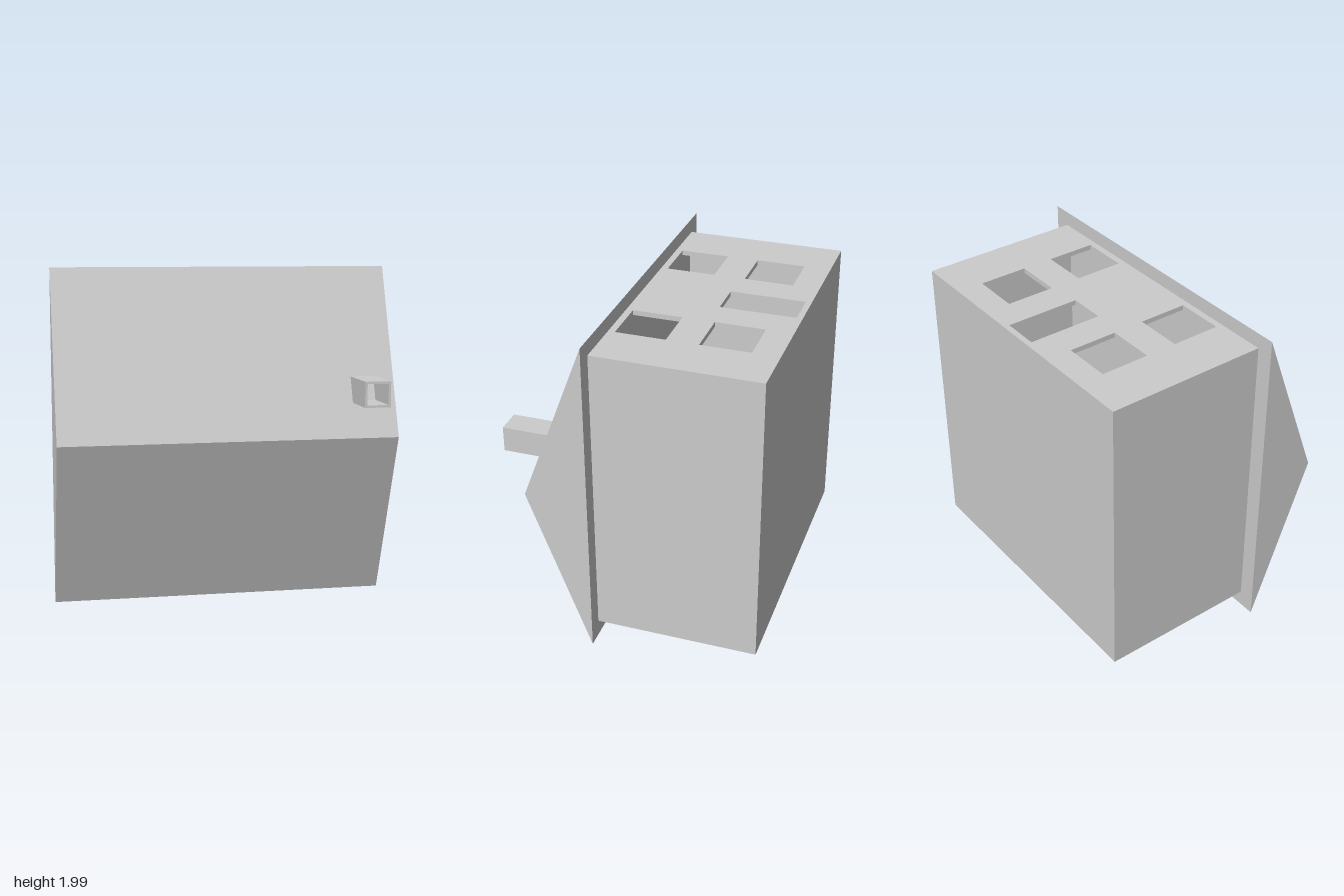
import * as THREE from 'three';

const WALL = 0.03;
const BODY = { x: 0.9, y0: 0.1, y1: 1.9, back: -0.76, front: 0.22 };

function rect(Type, x0, y0, x1, y1) {
  const r = new Type();
  r.moveTo(x0, y0);
  r.lineTo(x1, y0);
  r.lineTo(x1, y1);
  r.lineTo(x0, y1);
  r.closePath();
  return r;
}

export function createModel() {
  const model = new THREE.Group();
  model.name = 'houseLyingOnItsBack';
  const material = new THREE.MeshStandardMaterial({ color: 0xcccccc, flatShading: true });

  const add = (name, geometry, parent = model) => {
    const mesh = new THREE.Mesh(geometry, material);
    mesh.name = name;
    parent.add(mesh);
    return mesh;
  };
  const extrude = (shape, depth) => new THREE.ExtrudeGeometry(shape, { depth, bevelEnabled: false });

  // Hollow house body
  const body = new THREE.Group();
  body.name = 'body';
  model.add(body);
  const depth = BODY.front - BODY.back;
  const midZ = (BODY.front + BODY.back) / 2;
  const height = BODY.y1 - BODY.y0;

  // Top and bottom walls, each with four windows and a door
  for (const [name, y] of [['topWall', BODY.y1 - WALL], ['bottomWall', BODY.y0]]) {
    const shape = rect(THREE.Shape, -BODY.x, -BODY.front, BODY.x, -BODY.back);
    for (const x of [-0.595, 0.305]) {
      for (const z of [-0.6, -0.115]) {
        shape.holes.push(rect(THREE.Path, x, -z - 0.295, x + 0.29, -z));
      }
    }
    shape.holes.push(rect(THREE.Path, -0.11, 0.275, 0.11, 0.725));
    add(name, extrude(shape, WALL).rotateX(-Math.PI / 2), body).position.y = y;
  }

  // Side walls and the floor slab at the back
  for (const side of [-1, 1]) {
    add(side > 0 ? 'leftWall' : 'rightWall', new THREE.BoxGeometry(WALL, height - 2 * WALL, depth), body)
      .position.set(side * (BODY.x - WALL / 2), 1, midZ);
  }
  add('houseFloor', new THREE.BoxGeometry(2 * (BODY.x - WALL), height - 2 * WALL, WALL), body)
    .position.set(0, 1, BODY.back + WALL / 2);

  // Roof: triangular prism running along x, drawn in (-z, y)
  const roof = new THREE.Shape([
    new THREE.Vector2(-BODY.front, 0),
    new THREE.Vector2(-BODY.front, 1.99),
    new THREE.Vector2(-0.597, 1),
  ]);
  add('roof', extrude(roof, 2).rotateY(Math.PI / 2)).position.x = -1;

  // Hollow square chimney set into the upper roof slope
  const chimney = rect(THREE.Shape, 0.74, 1.2, 0.893, 1.35);
  chimney.holes.push(rect(THREE.Path, 0.754, 1.214, 0.879, 1.336));
  add('chimney', extrude(chimney, 0.3)).position.z = 0.457;

  return model;
}
